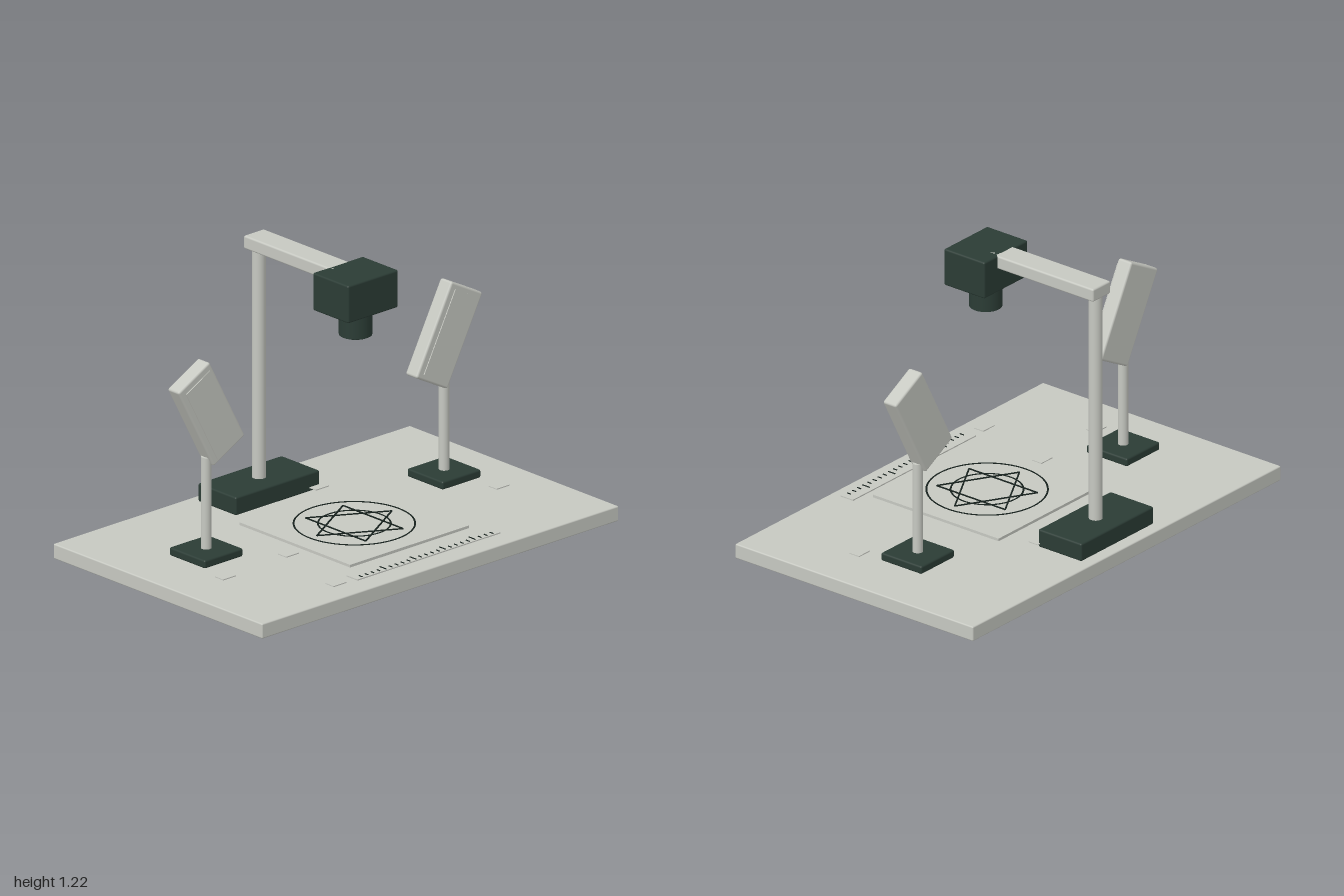
import * as THREE from 'three';
import { RoundedBoxGeometry } from 'three/addons/geometries/RoundedBoxGeometry.js';

const material = (name, color) => {
  const m = new THREE.MeshStandardMaterial({ color });
  m.name = name;
  return m;
};

export function createModel() {
  const grey = material('warm grey', 0xc6c8c1);
  const dark = material('dark green', 0x2b3c35);
  const ink = material('ink', 0x16211d);
  const model = new THREE.Group();
  model.name = 'copyStand';

  const add = (parent, name, geometry, mat, x, y, z) => {
    const mesh = new THREE.Mesh(geometry, mat);
    mesh.name = name;
    mesh.position.set(x, y, z);
    parent.add(mesh);
    return mesh;
  };
  const rounded = (w, h, d, r = 0.006) => new RoundedBoxGeometry(w, h, d, 2, r);
  const box = (w, h, d) => new THREE.BoxGeometry(w, h, d);
  const rod = (r, h) => new THREE.CylinderGeometry(r, r, h, 32);

  add(model, 'baseBoard', rounded(2, 0.066, 1.264), grey, 0, 0.033, 0);

  // Column, arm and camera
  add(model, 'columnFoot', rounded(0.47, 0.08, 0.23, 0.008), dark, 0, 0.107, -0.467);
  add(model, 'column', rod(0.029, 1.03), grey, 0, 0.655, -0.466);
  add(model, 'arm', rounded(0.114, 0.058, 0.56, 0.008), grey, 0, 1.186, -0.219);
  add(model, 'cameraBody', rounded(0.282, 0.165, 0.216, 0.008), dark, 0, 1.1325, 0.118);
  add(model, 'lensBarrel', rod(0.069, 0.115), dark, 0, 0.9975, 0.118);
  add(model, 'lensGlass', rod(0.056, 0.006), ink, 0, 0.937, 0.118);

  // Pair of tilted lamps
  for (const side of [-1, 1]) {
    const lamp = new THREE.Group();
    lamp.name = side > 0 ? 'leftLamp' : 'rightLamp';
    lamp.position.set(side * 0.667, 0, -0.066);
    model.add(lamp);
    add(lamp, 'lampFoot', rounded(0.215, 0.036, 0.216, 0.008), dark, 0, 0.102, 0);
    add(lamp, 'lampStem', rod(0.022, 0.41), grey, 0, 0.317, 0);
    const head = new THREE.Group();
    head.name = 'lampHead';
    head.position.y = 0.717;
    head.rotation.z = -side * THREE.MathUtils.degToRad(28);
    lamp.add(head);
    add(head, 'lampPanel', rounded(0.198, 0.424, 0.071, 0.01), grey, 0, 0, 0);
    add(head, 'diffuser', box(0.152, 0.376, 0.004), grey, 0, 0, 0.046);
  }

  // Mat with a ringed six-pointed star
  add(model, 'mat', box(0.667, 0.012, 0.667), grey, 0, 0.095, 0.111);
  const star = new THREE.Group();
  star.name = 'starPattern';
  star.position.set(0, 0.104, 0.111);
  model.add(star);
  for (const r of [0.25, 0.15]) {
    const ring = new THREE.TorusGeometry(r, 0.004, 6, 72).rotateX(Math.PI / 2).scale(1, 0.5, 1);
    add(star, 'patternRing', ring, ink, 0, 0, 0);
  }
  for (let i = 0; i < 6; i++) {
    const a = (i * Math.PI) / 3;
    const line = add(star, 'starLine', box(0.006, 0.004, 0.364), ink,
      Math.cos(a) * 0.105, 0, Math.sin(a) * 0.105);
    line.rotation.y = -a;
  }

  // Ruler, every fifth tick longer
  add(model, 'ruler', box(0.8, 0.005, 0.066), grey, 0, 0.084, 0.529);
  for (let i = 1; i < 24; i++) {
    const length = i % 5 === 0 ? 0.038 : 0.02;
    add(model, 'rulerTick', box(0.004, 0.003, length), ink, -0.4 + i / 30, 0.088, 0.555 - length / 2);
  }

  // Blank marker plates
  for (const [x, z] of [[-0.4, 0.145], [-0.487, 0.525], [0.214, -0.338], [-0.768, 0.16], [0.766, 0.16]])
    add(model, 'markerPlate', box(0.072, 0.004, 0.05), grey, x, 0.084, z);

  return model;
}
